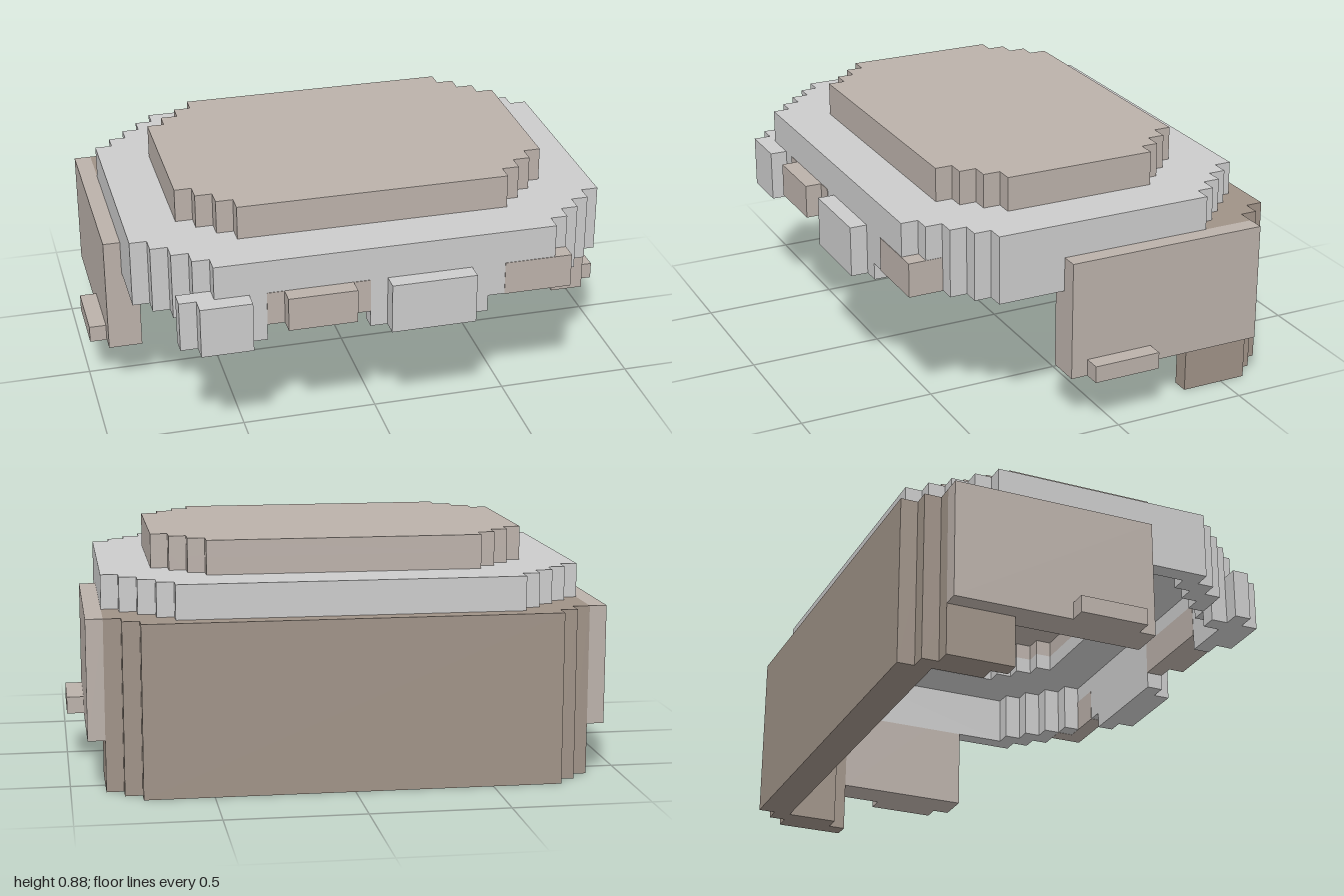
import * as THREE from 'three';

const U = 0.0625; // one voxel

export function createModel() {
  const group = new THREE.Group();
  const material = (color) => new THREE.MeshStandardMaterial({ color, flatShading: true });
  const grey = material(0xcccccc), light = material(0xbbb1aa), dark = material(0x9f9287);

  const add = (name, geometry, mat) => {
    const mesh = new THREE.Mesh(geometry, mat);
    mesh.name = name;
    group.add(mesh);
  };

  // Box from its limits
  const box = (name, mat, [x0, x1], [y0, y1], [z0, z1]) =>
    add(name, new THREE.BoxGeometry(x1 - x0, y1 - y0, z1 - z0)
      .translate((x0 + x1) / 2, (y0 + y1) / 2, (z0 + z1) / 2), mat);

  // The same box on both sides
  const pair = (name, mat, [x0, x1], y, z) => {
    box('left' + name, mat, [x0, x1], y, z);
    box('right' + name, mat, [-x1, -x0], y, z);
  };

  // Rectangle outline whose four corners are cut in one-voxel stairs
  const outline = ([halfX, halfZ, steps]) => {
    const quarter = [];
    for (let i = 0; i <= steps; i++) {
      const x = halfX - i * U, z = halfZ - (steps - i) * U;
      quarter.push([x, z]);
      if (i < steps) quarter.push([x - U, z]);
    }
    const flip = (sx, sz) => quarter.map(([x, z]) => new THREE.Vector2(sx * x, sz * z));
    return [...flip(1, 1), ...flip(-1, 1).reverse(), ...flip(-1, -1), ...flip(1, -1).reverse()];
  };

  // Stair-cornered slab, optionally with a hole of the same kind
  const slab = (name, mat, outer, [y0, y1], hole) => {
    const shape = new THREE.Shape(outline(outer));
    if (hole) shape.holes.push(new THREE.Path(outline(hole)));
    const geometry = new THREE.ExtrudeGeometry(shape, { depth: y1 - y0, bevelEnabled: false });
    add(name, geometry.rotateX(-Math.PI / 2).translate(0, y0, 0), mat);
  };

  // Hollow crown and cap, open underneath
  const crown = [0.6875, 0.47, 3], crownInside = [0.625, 0.407, 3];
  const cap = [0.875, 0.657, 4], capInside = [0.8125, 0.595, 4];
  slab('crownTop', light, crown, [0.8125, 0.875]);
  slab('crownWall', light, crown, [0.75, 0.8125], crownInside);
  slab('capTop', grey, cap, [0.6875, 0.75], crownInside);
  slab('capWall', grey, cap, [0.5, 0.6875], capInside);

  // Back wall with stepped corners
  const tall = [0, 0.625];
  box('backWall', dark, [-0.75, 0.75], tall, [-0.72, -0.595]);
  pair('BackCorner', dark, [0.75, 0.8125], tall, [-0.657, -0.407]);
  pair('BackCornerFill', dark, [0.6875, 0.75], [0.5, 0.625], [-0.595, -0.532]);
  pair('BackWing', dark, [0.8125, 0.875], tall, [-0.595, -0.345]);

  // Side panels and their small knobs
  const side = [0.1875, 0.625];
  pair('SidePanel', light, [0.875, 0.9375], side, [-0.595, 0.157]);
  pair('SidePanelInner', light, [0.8125, 0.875], side, [-0.345, 0.157]);
  pair('SideKnob', light, [0.9375, 1], [0.1875, 0.25], [-0.157, 0.095]);

  // Right fringe lock
  const lock = [0.4375, 0.625];
  box('rightLockFront', grey, [-0.6875, -0.5], lock, [0.655, 0.72]);
  box('rightLockMiddle', grey, [-0.75, -0.4375], lock, [0.595, 0.657]);
  box('rightLockBack', grey, [-0.6875, -0.625], [0.4375, 0.5], [0.532, 0.595]);

  // Middle fringe lock
  box('middleLockFront', grey, [0, 0.3125], lock, [0.655, 0.72]);
  box('middleLockBack', grey, [-0.0625, 0.375], [0.4375, 0.5], [0.595, 0.657]);

  // Brown fringe locks, set into the front of the cap
  const band = [0.499, 0.625];
  box('brownLockFront', light, [-0.375, -0.125], band, [0.655, 0.72]);
  box('brownLockBack', light, [-0.4375, -0.0625], band, [0.594, 0.659]);
  box('leftBrownLock', light, [0.4375, 0.689], band, [0.594, 0.659]);
  box('leftBrownLockSide', light, [0.624, 0.689], band, [0.532, 0.594]);

  return group;
}
